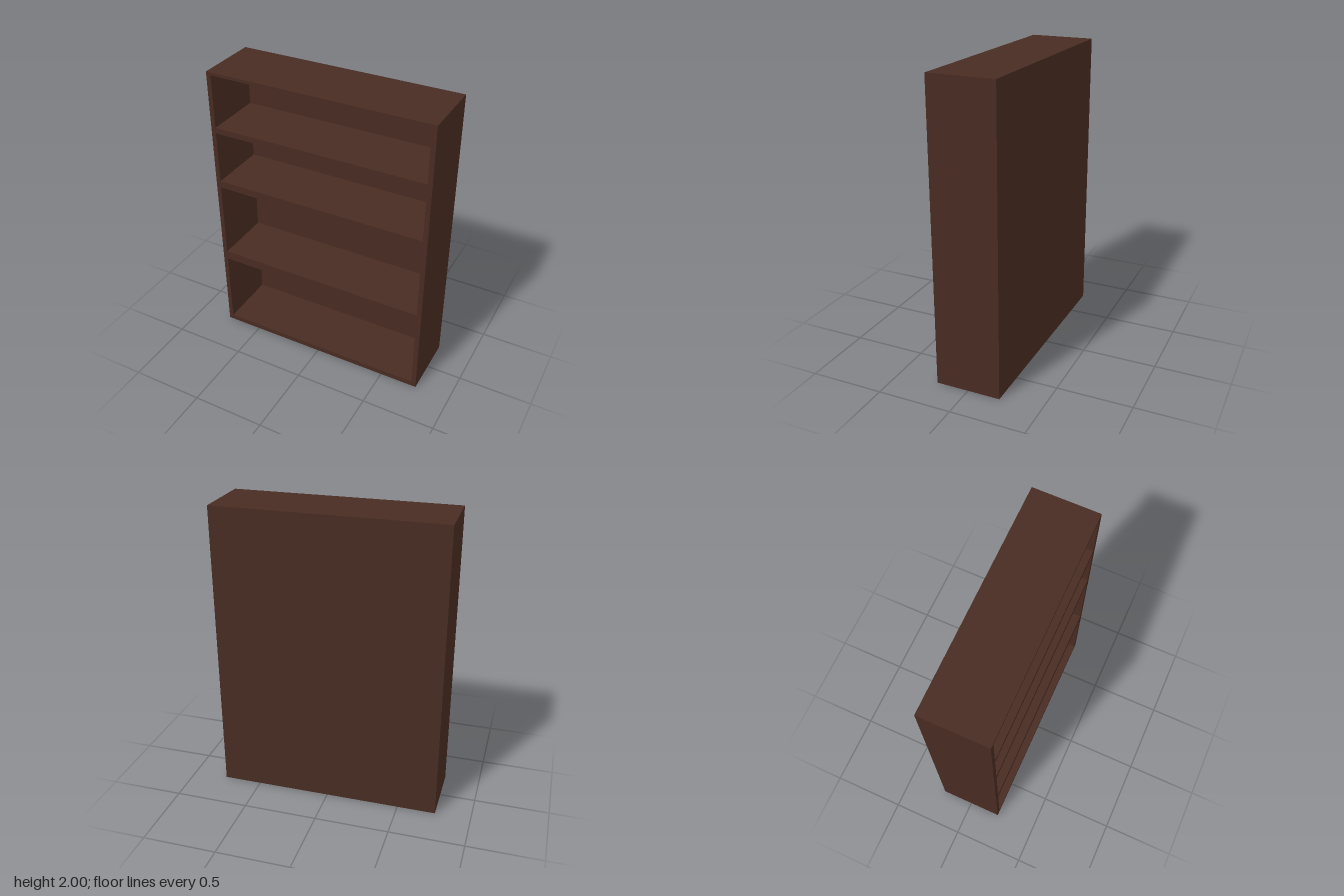
import * as THREE from 'three';

const WIDTH = 1.52, HEIGHT = 2, DEPTH = 0.44;
const BACK = 0.033; // back panel thickness
const INNER = 0.728; // half width of the compartments

// Bottom and top height of each open compartment
const COMPARTMENTS = [[0.036, 0.57], [0.634, 1.17], [1.22, 1.58], [1.62, 1.98]];

function rectangle(path, halfWidth, bottom, top) {
  path.moveTo(-halfWidth, bottom);
  path.lineTo(halfWidth, bottom);
  path.lineTo(halfWidth, top);
  path.lineTo(-halfWidth, top);
  path.closePath();
  return path;
}

export function createModel() {
  const model = new THREE.Group();
  model.name = 'bookcase';

  const wood = new THREE.MeshStandardMaterial({ color: 0x482c22 });
  wood.name = 'dark brown wood';

  // Sides, top, base and shelves as one frame with four openings
  const outline = rectangle(new THREE.Shape(), WIDTH / 2, 0, HEIGHT);
  for (const [bottom, top] of COMPARTMENTS) {
    outline.holes.push(rectangle(new THREE.Path(), INNER, bottom, top));
  }
  const frame = new THREE.Mesh(
    new THREE.ExtrudeGeometry(outline, { depth: DEPTH - BACK, bevelEnabled: false }),
    wood
  );
  frame.name = 'frameAndShelves';
  frame.position.z = -DEPTH / 2 + BACK;
  model.add(frame);

  // Panel closing the back
  const back = new THREE.Mesh(new THREE.BoxGeometry(WIDTH, HEIGHT, BACK), wood);
  back.name = 'backPanel';
  back.position.set(0, HEIGHT / 2, (BACK - DEPTH) / 2);
  model.add(back);

  return model;
}
